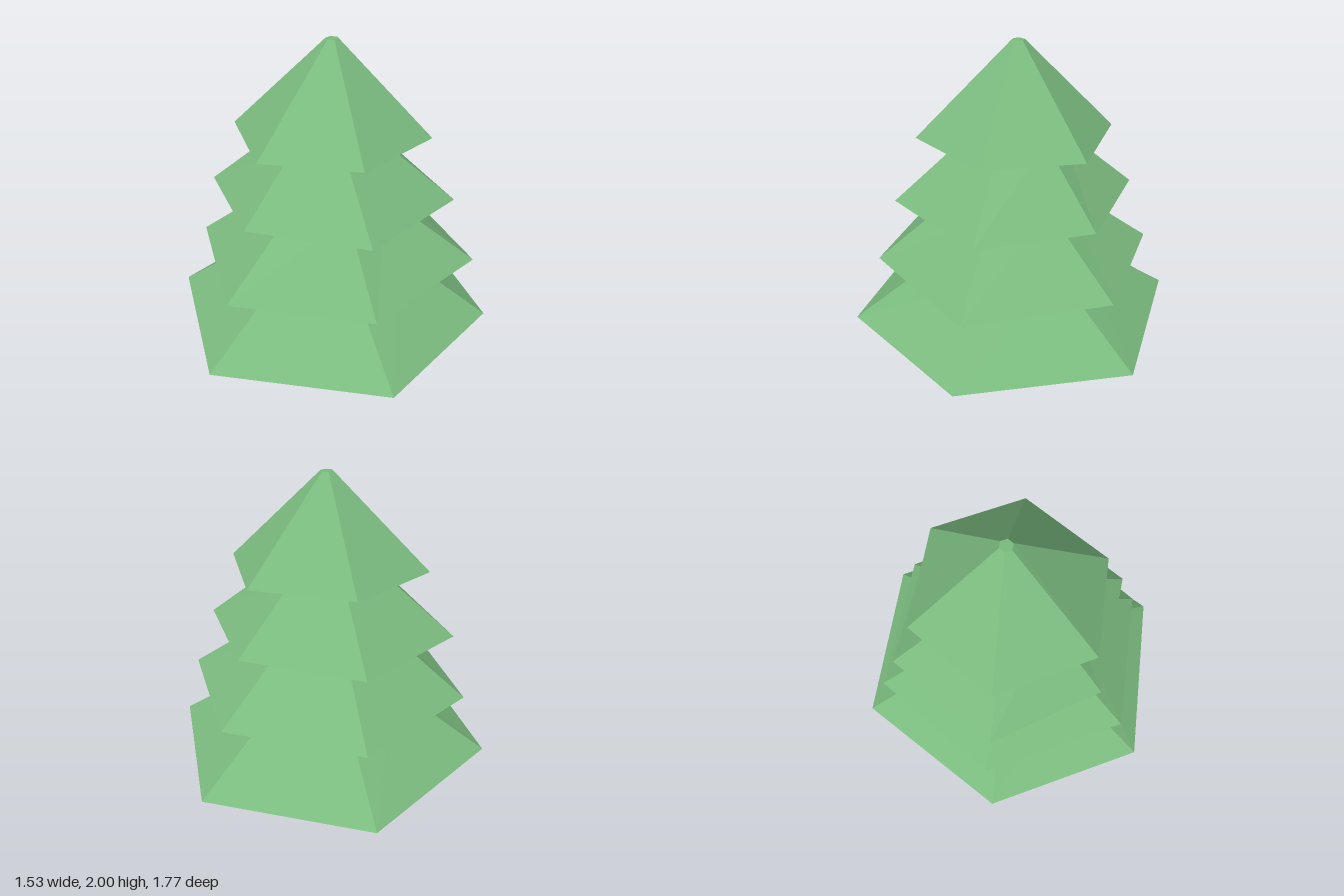
import * as THREE from 'three';

// Regular six-sided ring of [x, z] corners, starting at the front and turning towards +x
function hexRing(radius, cx, cz) {
  return Array.from({ length: 6 }, (_, i) => {
    const a = (i * Math.PI) / 3;
    return [cx + radius * Math.sin(a), cz + radius * Math.cos(a)];
  });
}

// Closed, faceted frustum between two rings of corners
function frustum(bottom, y0, top, y1) {
  const pos = [];
  const middle = (ring) => [0, 1].map((k) => ring.reduce((s, p) => s + p[k], 0) / ring.length);
  const put = (p, y) => pos.push(p[0], y, p[1]);
  const mb = middle(bottom), mt = middle(top);
  for (let i = 0; i < bottom.length; i++) {
    const j = (i + 1) % bottom.length;
    put(bottom[i], y0); put(bottom[j], y0); put(top[j], y1);
    put(bottom[i], y0); put(top[j], y1); put(top[i], y1);
    put(mb, y0); put(bottom[j], y0); put(bottom[i], y0);
    put(mt, y1); put(top[i], y1); put(top[j], y1);
  }
  const geo = new THREE.BufferGeometry();
  geo.setAttribute('position', new THREE.Float32BufferAttribute(pos, 3));
  geo.computeVertexNormals();
  return geo;
}

export function createModel() {
  const leafGreen = new THREE.MeshStandardMaterial({ color: 0x7aba7e });
  const barkBrown = new THREE.MeshStandardMaterial({ color: 0xa27c59 });
  const tree = new THREE.Group();
  tree.name = 'pineTree';

  const add = (name, geo, material) => {
    const mesh = new THREE.Mesh(geo, material);
    mesh.name = name;
    tree.add(mesh);
  };

  // Tapered trunk, slightly off centre
  add('trunk', frustum(hexRing(0.129, 0.016, -0.034), 0, hexRing(0.107, 0.016, -0.037), 0.546), barkBrown);

  // Foliage tiers: slightly uneven skirt corners narrowing to a small regular ring
  const tiers = [
    { name: 'lowestBranches', y0: 0.545, y1: 0.88, top: [0.358, -0.005, -0.005],
      skirt: [[0.003, 0.882], [0.76, 0.393], [0.727, -0.438], [-0.026, -0.885], [-0.768, -0.438], [-0.733, 0.449]] },
    { name: 'lowerBranches', y0: 0.88, y1: 1.215, top: [0.284, -0.005, 0.004],
      skirt: [[-0.005, 0.733], [0.61, 0.353], [0.642, -0.4], [-0.02, -0.733], [-0.647, -0.383], [-0.647, 0.346]] },
    { name: 'upperBranches', y0: 1.215, y1: 1.545, top: [0.228, -0.024, -0.005],
      skirt: [[-0.03, 0.573], [0.52, 0.29], [0.52, -0.35], [-0.012, -0.6], [-0.567, -0.313], [-0.567, 0.318]] },
    { name: 'treeTop', y0: 1.545, y1: 2, top: [0.032, -0.022, -0.028],
      skirt: [[-0.007, 0.492], [0.41, 0.23], [0.41, -0.275], [-0.007, -0.52], [-0.45, -0.26], [-0.45, 0.242]] },
  ];
  for (const t of tiers) {
    add(t.name, frustum(t.skirt, t.y0, hexRing(...t.top), t.y1), leafGreen);
  }
  return tree;
}
